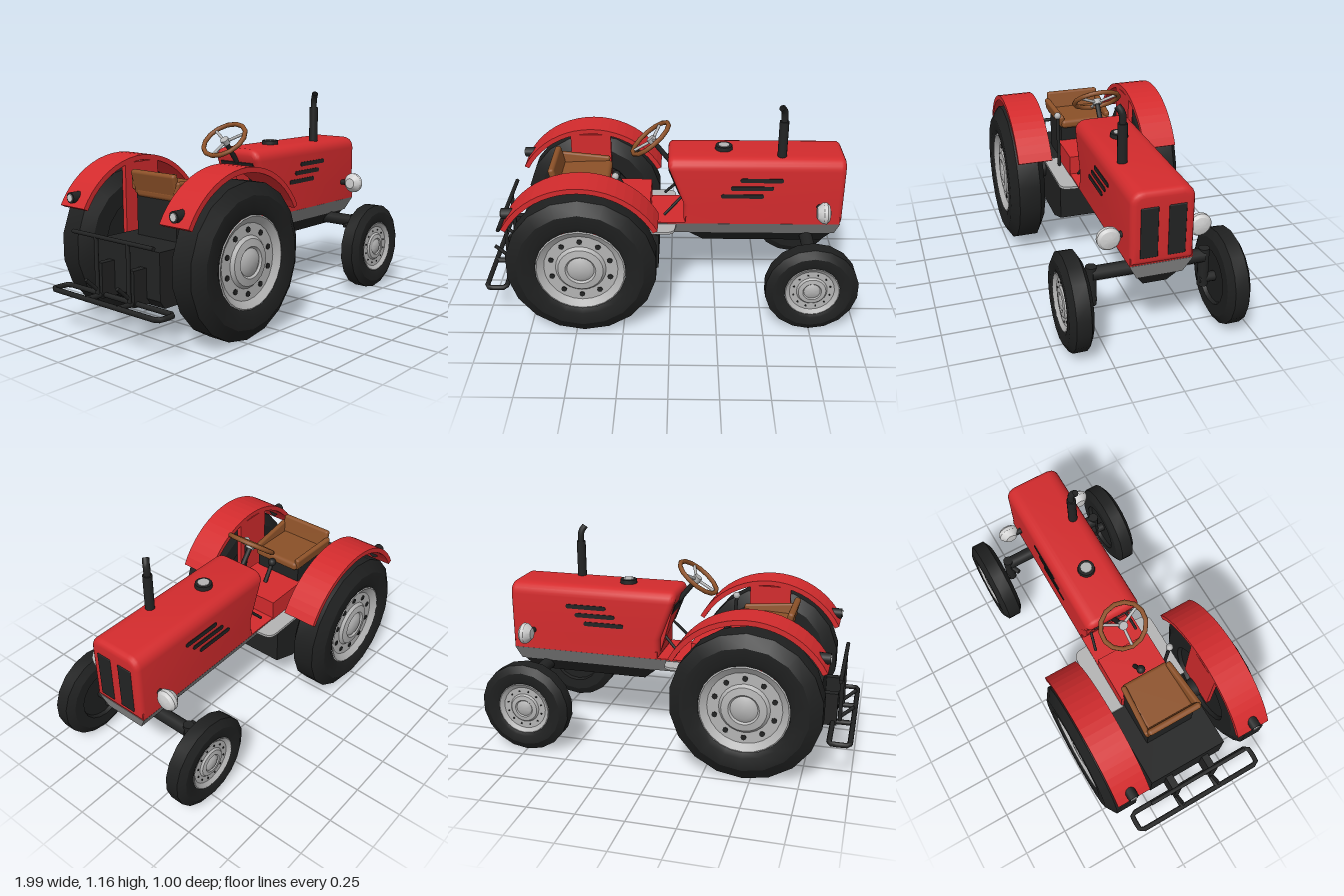
import * as THREE from 'three';
import { toCreasedNormals } from 'three/addons/utils/BufferGeometryUtils.js';
import { RoundedBoxGeometry } from 'three/addons/geometries/RoundedBoxGeometry.js';

const V = (x, y, z) => new THREE.Vector3(x, y, z);

export function createModel() {
  const model = new THREE.Group();
  model.name = 'tractor';
  const paint = (name, color) => Object.assign(new THREE.MeshStandardMaterial({ color }), { name });
  const red = paint('red paint', 0xd32b2d);
  const black = paint('black metal', 0x222323);
  const rubber = paint('tyre rubber', 0x1f2020);
  const silver = paint('silver rim', 0xb4b4b4);
  const grey = paint('grey chassis', 0x8a8a8a);
  const brown = paint('brown leather', 0x8c5128);
  const lens = paint('lamp glass', 0xd0d0d0);

  const add = (name, geo, mat, pos = [0, 0, 0], parent = model) => {
    const m = new THREE.Mesh(geo, mat);
    m.name = name;
    m.position.set(...pos);
    parent.add(m);
    return m;
  };
  // Box given by its minimum and maximum corners
  const box = (name, a, b, mat) => add(name, new THREE.BoxGeometry(b[0] - a[0], b[1] - a[1], b[2] - a[2]), mat,
    a.map((v, i) => (v + b[i]) / 2));
  // Straight round bar between two points
  const rod = (name, a, b, r, mat, parent = model) => {
    const p = V(...a), q = V(...b), d = q.clone().sub(p);
    const m = add(name, new THREE.CylinderGeometry(r, r, d.length(), 12), mat, p.clone().add(q).multiplyScalar(0.5).toArray(), parent);
    m.quaternion.setFromUnitVectors(V(0, 1, 0), d.normalize());
    return m;
  };
  const shapeOf = (pts) => new THREE.Shape(pts.map(p => new THREE.Vector2(...p)));
  const lathe = (pts, n) => toCreasedNormals(new THREE.LatheGeometry(pts.map(p => new THREE.Vector2(...p)), n), 0.5);
  // Side-profile extrusion centred on z = 0, tapering in z by a rule of y
  const slab = (name, pts, halfWidth, mat) => {
    const g = new THREE.ExtrudeGeometry(shapeOf(pts), { depth: 2, bevelEnabled: false });
    g.translate(0, 0, -1);
    const p = g.attributes.position;
    for (let i = 0; i < p.count; i++) p.setZ(i, Math.sign(p.getZ(i)) * halfWidth(p.getY(i)));
    g.computeVertexNormals();
    return add(name, g, mat);
  };

  // Bonnet: rounded arch section with rounded nose and slanted rear
  const e = 0.03, w = 0.157 - e, top = 0.868 - e;
  const arch = new THREE.Shape();
  arch.moveTo(-w, 0.49 + e);
  arch.lineTo(w, 0.49 + e);
  arch.lineTo(w, 0.6);
  arch.lineTo(w, top - 0.035);
  arch.quadraticCurveTo(w, top, w - 0.04, top);
  arch.lineTo(-w + 0.04, top);
  arch.quadraticCurveTo(-w, top, -w, top - 0.035);
  arch.lineTo(-w, 0.6);
  const hood = new THREE.ExtrudeGeometry(arch, { depth: 0.885, bevelThickness: e, bevelSize: e, bevelSegments: 4, curveSegments: 6 });
  hood.rotateY(Math.PI / 2);
  hood.translate(0.015, 0, 0);
  const hp = hood.attributes.position;
  for (let i = 0; i < hp.count; i++) {
    if (hp.getX(i) < 0.3) hp.setX(i, hp.getX(i) + 0.085 * THREE.MathUtils.clamp((0.82 - hp.getY(i)) / 0.22, 0, 1));
  }
  hood.computeVertexNormals();
  add('hood', toCreasedNormals(hood, 0.6), red);
  box('hoodSkirt', [0.08, 0.488, -0.156], [0.918, 0.53, 0.156], red);
  const dash = add('dashboard', new THREE.BoxGeometry(0.012, 0.16, 0.23), black, [0.022, 0.72, 0]);
  dash.rotation.z = 0.37;

  // Chassis rail and engine pan below the bonnet
  slab('chassis', [[-0.07, 0.41], [0.9, 0.41], [0.92, 0.49], [-0.07, 0.49]], y => y > 0.45 ? 0.158 : 0.115, grey);
  slab('enginePan', [[0.18, 0.335], [0.84, 0.335], [0.88, 0.411], [0.1, 0.411]], y => y > 0.37 ? 0.115 : 0.06, black);

  // Gearbox, red tunnel and seat stand
  slab('gearbox', [[-0.82, 0.23], [-0.79, 0.19], [-0.22, 0.19], [-0.065, 0.25], [-0.065, 0.45], [-0.1, 0.47], [-0.82, 0.47]], () => 0.228, black);
  box('seatStand', [-0.62, 0.46, -0.14], [-0.36, 0.69, 0.14], black);
  box('tunnel', [-0.37, 0.46, -0.157], [-0.11, 0.6, 0.157], red);
  box('floor', [-0.11, 0.488, -0.157], [0.08, 0.496, 0.157], red);

  // Cap and exhaust on the bonnet
  add('fuelCapBase', new THREE.CylinderGeometry(0.045, 0.048, 0.025, 16), black, [0.285, 0.877, 0]);
  add('fuelCap', new THREE.CylinderGeometry(0.03, 0.03, 0.008, 16), silver, [0.285, 0.889, 0]);
  rod('exhaust', [0.59, 0.85, 0.086], [0.59, 1.066, 0.086], 0.025, black);
  const bend = new THREE.CatmullRomCurve3([V(0.59, 1.05, 0.086), V(0.59, 1.1, 0.086), V(0.586, 1.125, 0.092), V(0.572, 1.148, 0.107)]);
  add('exhaustTip', new THREE.TubeGeometry(bend, 8, 0.018, 10), black).material.side = THREE.DoubleSide;

  const lampGeo = lathe([[0, -0.035], [0.03, -0.032], [0.05, -0.012], [0.058, 0], [0.058, 0.018], [0.045, 0.032], [0.02, 0.039], [0, 0.04]], 20);

  // Wheel: tyre with a closed inner face, dished rim, ring of holes
  const wheel = (name, x, y, s, inner, R, width, rimR, holes, holeR, sides) => {
    const g = new THREE.Group();
    g.name = name;
    g.position.set(x, y, s * inner);
    g.rotation.x = s * Math.PI / 2;
    model.add(g);
    const W = width, k = rimR;
    add('tyre', lathe([[0, 0.02], [k * 0.95, 0.02], [k, 0], [R * 0.83, 0], [R, W * 0.2], [R, W * 0.8], [R * 0.84, W], [k * 1.12, W], [k, W * 0.93]], sides), rubber, [0, 0, 0], g);
    add('rim', lathe([[k, W * 0.93], [k * 0.97, W * 0.95], [k * 0.82, W * 0.82], [k * 0.56, W * 0.82], [k * 0.5, W * 0.9],
      [k * 0.34, W * 0.93], [k * 0.3, W * 0.88], [k * 0.2, W * 0.95], [0, W * 0.96]], 24), silver, [0, 0, 0], g);
    for (let i = 0; i < holes; i++) {
      const a = (i + 0.5) / holes * Math.PI * 2, r = k * 0.68;
      add('rimHole', new THREE.CylinderGeometry(holeR, holeR, 0.006, 8), black, [Math.cos(a) * r, W * 0.82 + 0.001, Math.sin(a) * r], g);
    }
  };

  for (const s of [1, -1]) {
    const side = s > 0 ? 'right' : 'left';
    const sbox = (name, a, b, mat) => box(name, [a[0], a[1], Math.min(a[2] * s, b[2] * s)], [b[0], b[1], Math.max(a[2] * s, b[2] * s)], mat);

    wheel(side + 'RearWheel', -0.46, 0.395, s, 0.3, 0.395, 0.2, 0.235, 10, 0.015, 18);
    wheel(side + 'FrontWheel', 0.75, 0.247, s, 0.335, 0.247, 0.12, 0.145, 12, 0.005, 18);

    // Axles and steering knuckles
    rod('rearAxle', [-0.46, 0.395, s * 0.2], [-0.46, 0.395, s * 0.33], 0.055, black);
    rod('frontAxle', [0.75, 0.38, 0], [0.75, 0.38, s * 0.29], 0.036, black);
    rod('knuckle', [0.75, 0.21, s * 0.292], [0.75, 0.42, s * 0.292], 0.028, black);
    rod('spindle', [0.75, 0.247, s * 0.27], [0.75, 0.247, s * 0.37], 0.026, black);
    rod('steeringArm', [0.75, 0.36, s * 0.29], [0.68, 0.36, s * 0.26], 0.014, black);

    // Mudguard and its inner plate
    const arc = new THREE.Shape();
    arc.absarc(0, 0, 0.455, 0.5, Math.PI - 0.5, false);
    arc.absarc(0, 0, 0.428, Math.PI - 0.5, 0.5, true);
    const fender = new THREE.ExtrudeGeometry(arc, { depth: 0.188, bevelEnabled: false, curveSegments: 10 });
    add(side + 'Fender', fender, red, [-0.46, 0.4, s > 0 ? 0.27 : -0.458]);
    sbox(side + 'FenderPlate', [-0.58, 0.42, 0.27], [-0.35, 0.822, 0.296], red);

    // Tail lamp
    rod('tailLamp', [-0.8, 0.665, s * 0.37], [-0.865, 0.665, s * 0.37], 0.029, black);
    rod('tailLampGlass', [-0.864, 0.665, s * 0.37], [-0.87, 0.665, s * 0.37], 0.02, lens);

    // Headlamp
    rod('headlampBracket', [0.8, 0.6, s * 0.15], [0.8, 0.6, s * 0.2], 0.016, black);
    add(side + 'Headlamp', lampGeo, lens, [0.81, 0.6, s * 0.228]).rotation.z = -Math.PI / 2;

    // Grille panel and side louvres
    add('grille', new RoundedBoxGeometry(0.012, 0.258, 0.086, 2, 0.005), black, [0.929, 0.66, s * 0.068]);
    for (let i = 0; i < 3; i++) {
      const slot = new THREE.Shape();
      slot.absarc(0.103, 0, 0.012, -Math.PI / 2, Math.PI / 2);
      slot.absarc(-0.103, 0, 0.012, Math.PI / 2, Math.PI * 1.5);
      const g = new THREE.ExtrudeGeometry(slot, { depth: 0.008, bevelEnabled: false, curveSegments: 5 });
      add('louvre', g, black, [0.385 + 0.05 * i, 0.66 + 0.047 * i, s * 0.157 - 0.004]);
    }

    // Footplate with a rounded front corner, and pedal
    const foot = new THREE.Shape();
    foot.moveTo(-0.38, 0.15);
    foot.lineTo(0.03, 0.15);
    foot.lineTo(0.025, 0.2);
    foot.quadraticCurveTo(0.02, 0.245, -0.03, 0.245);
    foot.lineTo(-0.38, 0.245);
    const fp = new THREE.ExtrudeGeometry(foot, { depth: 0.014, bevelEnabled: false });
    fp.rotateX(Math.PI / 2);
    if (s < 0) fp.rotateX(Math.PI);
    add(side + 'Footplate', fp, silver, [0, s > 0 ? 0.484 : 0.47, 0]);
    rod('pedal', [-0.035, 0.53, s * 0.13], [0.06, 0.63, s * 0.11], 0.008, black);

    // Hitch struts
    sbox('hitchBracket', [-0.9, 0.2, 0.095], [-0.8, 0.38, 0.135], black);
    rod('hitchStrut', [-0.99, 0.215, s * 0.115], [-0.8, 0.215, s * 0.115], 0.014, black);
    rod('hitchHook', [-0.92, 0.25, s * 0.115], [-0.985, 0.31, s * 0.115], 0.01, black);
    rod('hitchUpright', [-0.915, 0.215, s * 0.115], [-0.915, 0.515, s * 0.115], 0.011, black);
  }

  // Rear bumper loop and upper rail
  const loop = new THREE.CatmullRomCurve3([[-0.985, 0.36], [-0.965, 0.385], [-0.9, 0.385], [-0.88, 0.36],
    [-0.88, -0.36], [-0.9, -0.385], [-0.965, -0.385], [-0.985, -0.36]].map(p => V(p[0], 0.215, p[1])), true, 'catmullrom', 0.1);
  add('rearBumper', new THREE.TubeGeometry(loop, 64, 0.014, 8, true), black);
  rod('rearRail', [-0.915, 0.515, -0.29], [-0.915, 0.515, 0.29], 0.011, black);

  // Seat: cushion, raised sides, tilted back
  const seat = new THREE.Group();
  seat.name = 'seat';
  model.add(seat);
  add('cushion', new RoundedBoxGeometry(0.3, 0.05, 0.28, 3, 0.02), brown, [-0.48, 0.7, 0], seat).rotation.z = 0.05;
  add('backrest', new RoundedBoxGeometry(0.035, 0.13, 0.31, 3, 0.015), brown, [-0.622, 0.745, 0], seat).rotation.z = 0.25;
  for (const s of [1, -1]) {
    const arm = add('seatSide', new RoundedBoxGeometry(0.29, 0.07, 0.03, 3, 0.012), brown, [-0.49, 0.728, s * 0.143], seat);
    arm.rotation.set(s * 0.15, s * 0.06, -0.08);
  }

  // Steering wheel on its tilted column
  const steer = new THREE.Group();
  steer.name = 'steeringWheel';
  steer.position.set(-0.11, 0.925, 0);
  steer.rotation.z = 0.67;
  model.add(steer);
  add('steeringRim', new THREE.TorusGeometry(0.124, 0.013, 8, 14), brown, [0, 0, 0], steer).rotation.x = Math.PI / 2;
  for (const a of [Math.PI, Math.PI / 3, -Math.PI / 3]) {
    rod('spoke', [0, -0.015, 0], [Math.cos(a) * 0.12, 0, Math.sin(a) * 0.12], 0.008, silver, steer);
  }
  add('steeringHub', new THREE.CylinderGeometry(0.024, 0.024, 0.03, 12), silver, [0, -0.012, 0], steer);
  rod('steeringColumn', [0, -0.02, 0], [0, -0.21, 0], 0.014, black, steer);

  // Levers
  rod('handLever', [-0.27, 0.46, 0.178], [-0.29, 0.775, 0.178], 0.01, black);
  add('handLeverKnob', new THREE.SphereGeometry(0.02, 12, 8), silver, [-0.29, 0.785, 0.178]);
  rod('gearLever', [-0.24, 0.6, 0], [-0.3, 0.7, 0], 0.012, black);
  add('gearKnob', new THREE.SphereGeometry(0.024, 12, 8), black, [-0.3, 0.705, 0]);

  return model;
}
